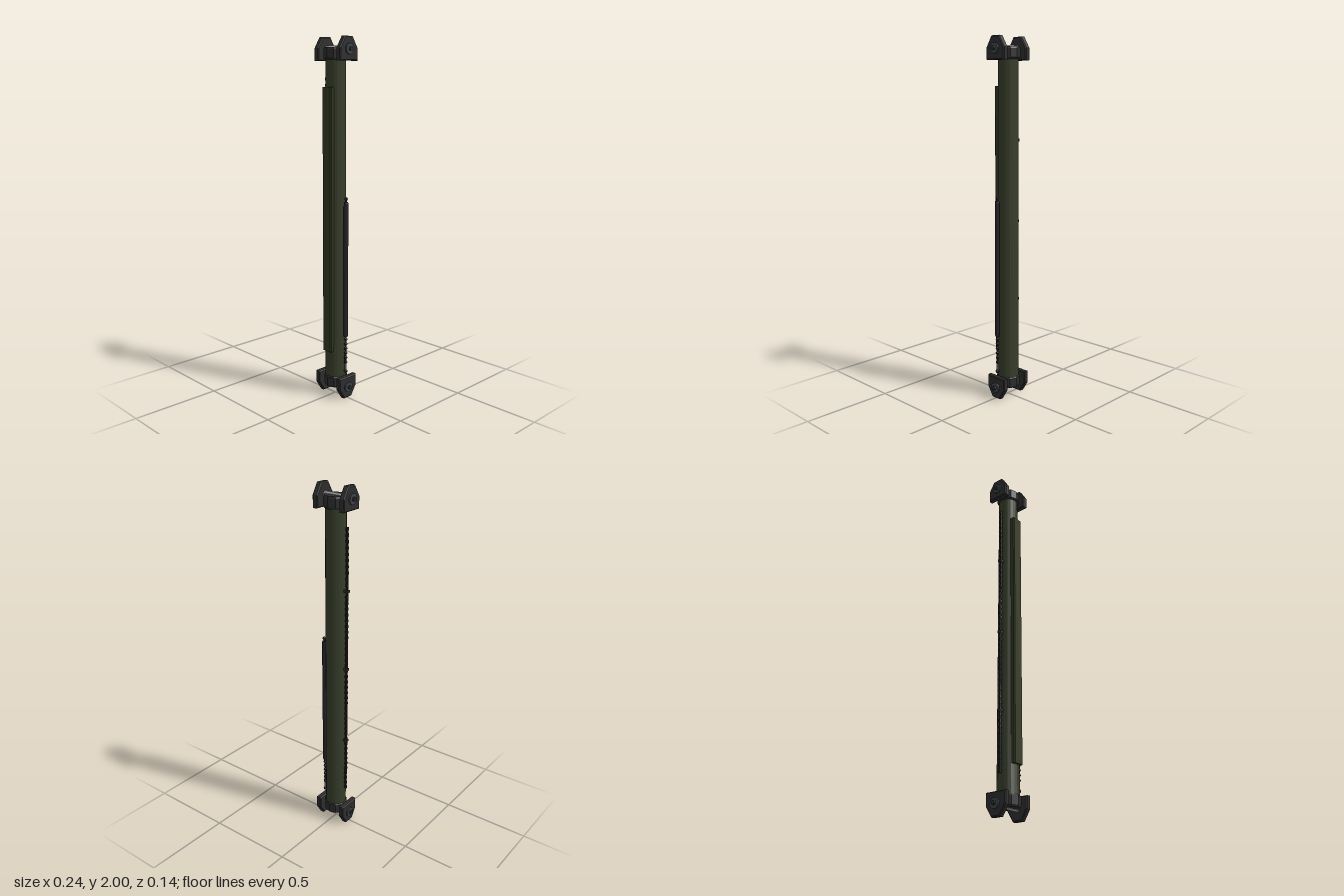
import * as THREE from 'three';

const mat = (name, color, flatShading = true) => {
  const m = new THREE.MeshStandardMaterial({ color, flatShading });
  m.name = name;
  return m;
};

export function createModel() {
  const olive = mat('olive green', 0x363d2a);
  const darkOlive = mat('dark olive', 0x30371f);
  const iron = mat('dark iron', 0x2d2d2e);
  const washerGrey = mat('washer grey', 0x3c434a);
  const steel = mat('bright steel', 0xa0a0a2);
  const black = mat('black rubber', 0x242428);

  const model = new THREE.Group();
  model.name = 'rod';
  const Z = -0.003;

  const add = (parent, name, geo, material, x = 0, y = 0, z = 0) => {
    const mesh = new THREE.Mesh(geo, material);
    mesh.name = name;
    mesh.position.set(x, y, z);
    parent.add(mesh);
    return mesh;
  };
  const lathe = (pts, n) => new THREE.LatheGeometry(pts.map(p => new THREE.Vector2(...p)), n);
  const across = (r, len, n) => new THREE.CylinderGeometry(r, r, len, n).rotateZ(Math.PI / 2);

  // Main tube, slightly wider at the foot
  add(model, 'tube', new THREE.CylinderGeometry(0.055, 0.059, 1.8, 20), olive, 0, 1, Z);

  // Long front cover plate with softened edges
  const plate = new THREE.Shape();
  [[-0.033, 0.03], [0.033, 0.03], [0.033, 0.062], [0.028, 0.068], [-0.028, 0.068], [-0.033, 0.062]]
    .forEach(([x, z], i) => (i ? plate.lineTo(x, -z) : plate.moveTo(x, -z)));
  add(model, 'frontPlate', new THREE.ExtrudeGeometry(plate, { depth: 1.47, bevelEnabled: false })
    .rotateX(-Math.PI / 2), darkOlive, 0, 0.27, 0);

  // Tapered cheek profile, drawn in (z, y) about the pin
  const cheek = new THREE.Shape();
  [[-0.06, -0.055], [0.06, -0.055], [0.06, 0.005], [0.026, 0.06], [-0.026, 0.06], [-0.06, 0.005]]
    .forEach(([x, y], i) => (i ? cheek.lineTo(x, y) : cheek.moveTo(x, y)));
  const cheekGeo = new THREE.ExtrudeGeometry(cheek, {
    depth: 0.022, bevelEnabled: true, bevelThickness: 0.005, bevelSize: 0.005, bevelSegments: 1,
  }).translate(0, 0, -0.011).rotateY(Math.PI / 2);

  const collarGeo = lathe([[0, -0.055], [0.058, -0.055], [0.066, -0.046], [0.066, 0], [0.062, 0.01], [0, 0.01]], 10);

  // One end fitting: collar, pin and two cheeks with fasteners
  const endFitting = (name) => {
    const g = new THREE.Group();
    g.name = name;
    add(g, 'collar', collarGeo, iron);
    add(g, 'pin', across(0.02, 0.16, 10), steel);
    for (const s of [-1, 1]) {
      add(g, 'cheek', cheekGeo, iron, s * 0.084);
      add(g, 'washer', across(0.029, 0.01, 12), washerGrey, s * 0.104);
      add(g, 'bolt', across(0.012, 0.022, 6), iron, s * 0.108);
    }
    model.add(g);
    return g;
  };
  endFitting('topFitting').position.set(0, 1.935, Z);
  const foot = endFitting('bottomFitting');
  foot.position.set(0, 0.065, Z);
  foot.rotation.x = Math.PI;

  // Ribbed cable on the model's right side
  const cable = new THREE.Group();
  cable.name = 'ribbedCable';
  cable.position.set(-0.07, 0, 0);
  model.add(cable);
  add(cable, 'core', new THREE.CylinderGeometry(0.006, 0.006, 1.57, 8), black, 0, 1.005);
  const ringGeo = new THREE.CylinderGeometry(0.009, 0.009, 0.014, 8);
  for (let i = 0; i < 48; i++) add(cable, 'rib', ringGeo, black, 0, 0.23 + i * 0.033);
  for (const y of [0.55, 1.0, 1.45]) add(cable, 'clip', new THREE.BoxGeometry(0.03, 0.014, 0.02), iron, 0.004, y);

  // Slim cylinder on the model's left side, with beaded lower end
  const strut = new THREE.Group();
  strut.name = 'sideStrut';
  strut.position.set(0.083, 0, 0);
  model.add(strut);
  add(strut, 'barrel', lathe([[0, 0.362], [0.011, 0.362], [0.013, 0.37], [0.013, 1.12], [0.011, 1.128], [0, 1.128]], 12), black);
  add(strut, 'topNeck', new THREE.CylinderGeometry(0.005, 0.005, 0.03, 8), black, 0, 1.135);
  add(strut, 'topKnob', new THREE.SphereGeometry(0.01, 10, 6), black, 0, 1.145);
  add(strut, 'stem', new THREE.CylinderGeometry(0.005, 0.005, 0.17, 8), black, 0, 0.285);
  for (let i = 0; i < 6; i++) add(strut, 'bead', new THREE.SphereGeometry(0.01, 8, 6), black, 0, 0.345 - i * 0.027);
  add(strut, 'steelTip', new THREE.CylinderGeometry(0.005, 0.005, 0.04, 8), steel, 0, 0.185);
  add(strut, 'bottomKnob', new THREE.SphereGeometry(0.011, 10, 6), black, 0, 0.156);

  return model;
}
